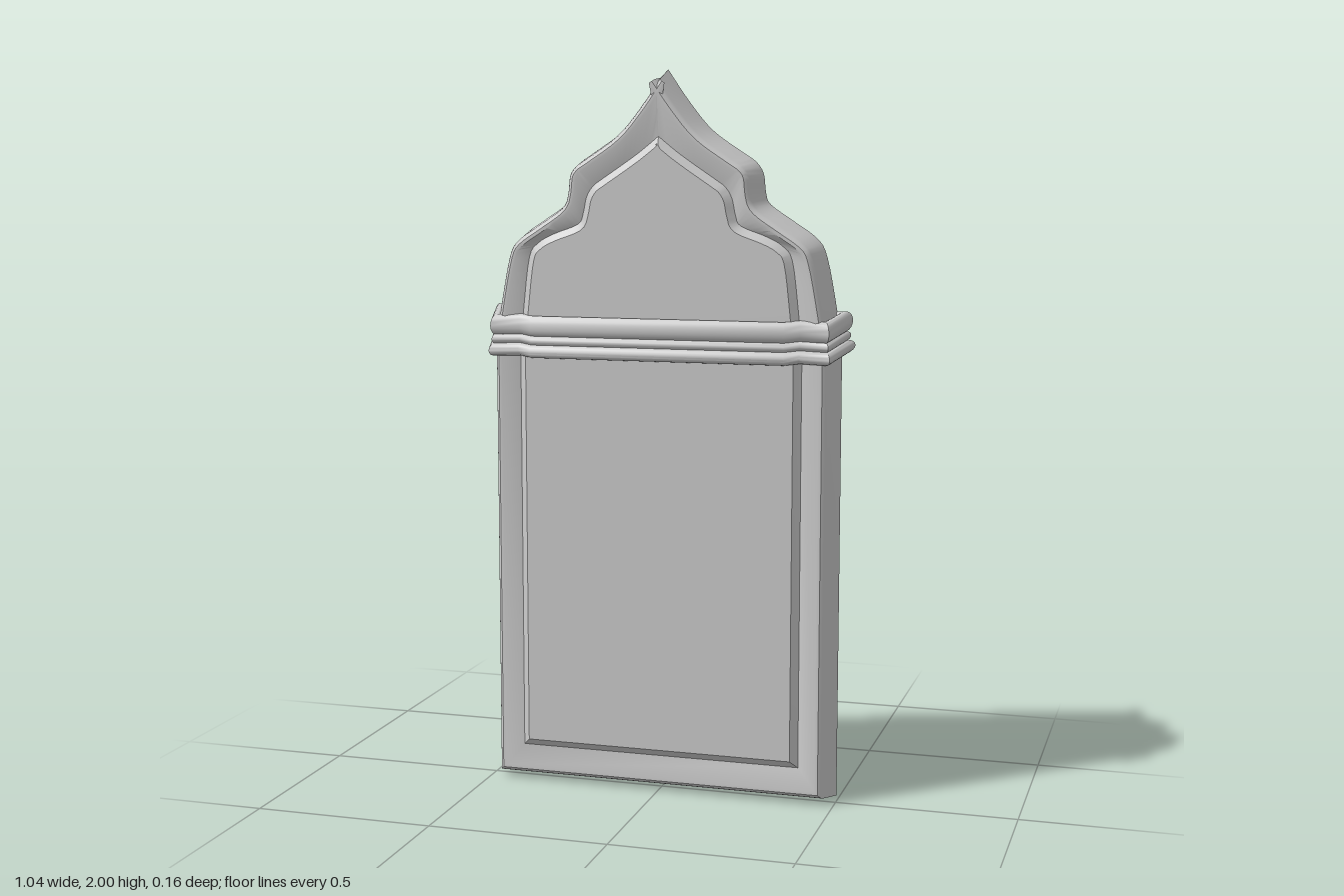
import * as THREE from 'three';
import { toCreasedNormals } from 'three/addons/utils/BufferGeometryUtils.js';

const material = new THREE.MeshStandardMaterial({ color: 0xcccccc });
const V = (x, y) => new THREE.Vector2(x, y);

// Complete a right-hand half outline (counter-clockwise) with its mirror image
function mirrored(half) {
  const left = half.filter((p) => p.x > 1e-6).reverse().map((p) => V(-p.x, p.y));
  return [...half, ...left];
}

// Move a closed counter-clockwise outline inwards by d with mitred corners
function inset(points, d) {
  const n = points.length;
  return points.map((p, i) => {
    const a = p.clone().sub(points[(i + n - 1) % n]).normalize();
    const b = points[(i + 1) % n].clone().sub(p).normalize();
    const na = V(-a.y, a.x), nb = V(-b.y, b.x);
    const m = na.clone().add(nb).normalize();
    return p.clone().addScaledVector(m, d / Math.max(0.45, m.dot(na)));
  });
}

// Skin a series of closed rings of 3D points
function loft(rings, crease = 0.6) {
  const pos = [];
  for (let k = 0; k < rings.length - 1; k++) {
    const a = rings[k], b = rings[k + 1];
    for (let i = 0; i < a.length; i++) {
      const j = (i + 1) % a.length;
      for (const p of [a[i], a[j], b[j], a[i], b[j], b[i]]) pos.push(p.x, p.y, p.z);
    }
  }
  const geo = new THREE.BufferGeometry();
  geo.setAttribute('position', new THREE.Float32BufferAttribute(pos, 3));
  return toCreasedNormals(geo, crease);
}

const atZ = (points, z) => points.map((p) => new THREE.Vector3(p.x, p.y, z));

// Straight side plus a smooth lobed arch up to the tip
function archOutline(bottom, sidePoints) {
  const curve = new THREE.SplineCurve(sidePoints.map(([x, y]) => V(x, y)));
  const half = [V(sidePoints[0][0], bottom)];
  const steps = 48;
  for (let i = 0; i <= steps; i++) half.push(curve.getPoint(i / steps));
  half[half.length - 1].x = 0;
  return mirrored(half);
}

export function createModel() {
  const group = new THREE.Group();
  const add = (name, geo) => {
    const mesh = new THREE.Mesh(geo, material);
    mesh.name = name;
    group.add(mesh);
    return mesh;
  };

  const outer = archOutline(0, [
    [0.49, 1.25], [0.476, 1.35], [0.447, 1.497], [0.418, 1.548], [0.354, 1.593],
    [0.29, 1.637], [0.276, 1.667], [0.269, 1.72], [0.248, 1.752], [0.21, 1.778],
    [0.127, 1.836], [0.063, 1.91], [0, 2],
  ]);
  const opening = archOutline(0.1, [
    [0.4, 1.25], [0.39, 1.35], [0.372, 1.49], [0.345, 1.53], [0.3, 1.555],
    [0.23, 1.582], [0.215, 1.61], [0.205, 1.655], [0.187, 1.685], [0.16, 1.705],
    [0.1, 1.745], [0.05, 1.78], [0, 1.82],
  ]);
  const panel = inset(opening, 0.02);

  // Tapered sides, rounded rim and frame face sloping in to the panel
  add('frame', loft([
    atZ(outer, -0.06),
    atZ(inset(outer, 0.019), 0.034),
    atZ(inset(outer, 0.023), 0.044),
    atZ(inset(outer, 0.031), 0.05),
    atZ(inset(outer, 0.04), 0.05),
    atZ(opening, 0.034),
  ]));

  // Raised panel with bevelled border
  add('panelBevel', loft([atZ(opening, 0.034), atZ(panel, 0.051)]));
  add('panel', new THREE.ShapeGeometry(new THREE.Shape(panel))).position.z = 0.051;

  // Flat back
  const back = add('back', new THREE.ShapeGeometry(new THREE.Shape(outer)));
  back.rotation.y = Math.PI;
  back.position.z = -0.06;

  // Three rounded mouldings wrapping the body, rising slightly to the back;
  // the path is drawn in x and -z
  const path = mirrored([V(0.355, -0.057), V(0.395, -0.037), V(0.467, -0.046), V(0.495, 0.06)]);
  const bands = [
    ['upperMoulding', 1.303, 0.028, 0.016],
    ['middleMoulding', 1.264, 0.014, 0.013],
    ['lowerMoulding', 1.235, 0.019, 0.021],
  ];
  for (const [name, y, halfHeight, bulge] of bands) {
    const rings = [];
    for (let k = 0; k <= 20; k++) {
      const a = -Math.PI + (k / 20) * Math.PI * 2;
      rings.push(inset(path, -bulge * Math.cos(a)).map((p) =>
        new THREE.Vector3(p.x, y + halfHeight * Math.sin(a) + (p.y + 0.05) * 0.2, -p.y)));
    }
    add(name, loft(rings, 0.7));
  }

  return group;
}
